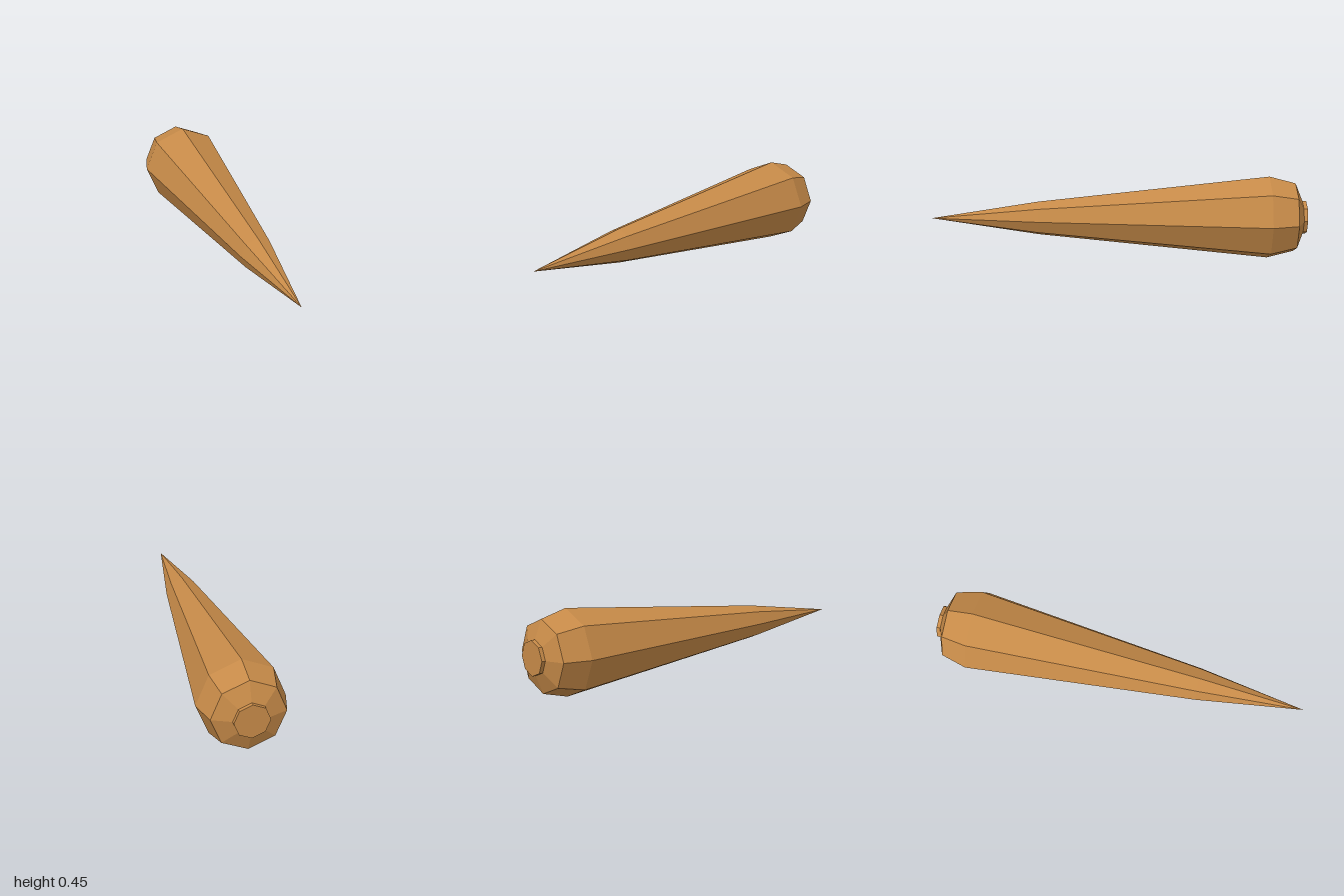
import * as THREE from 'three';

const SIDES = 8;
const RADIUS = 0.224;

// Faceted solid of revolution along z, from [z, radius] pairs listed back to front
function facetedLathe(name, profile, material) {
  const points = profile.map(([z, r]) => new THREE.Vector2(r, z));
  const lathe = new THREE.LatheGeometry(points, SIDES);
  lathe.rotateX(Math.PI / 2);
  const geometry = lathe.toNonIndexed();
  geometry.computeVertexNormals();
  const mesh = new THREE.Mesh(geometry, material);
  mesh.name = name;
  mesh.position.y = RADIUS;
  return mesh;
}

export function createModel() {
  const group = new THREE.Group();
  group.name = 'taperedSpike';
  const brown = new THREE.MeshStandardMaterial({ color: 0xc68a48 });
  brown.name = 'warm brown';

  // Long tapered body with a rounded shoulder at the back
  group.add(facetedLathe('body', [
    [-0.98, 0], [-0.98, 0.09], [-0.94, 0.187], [-0.8, RADIUS], [0.43, 0.09], [1, 0],
  ], brown));

  // Short stub on the back end
  group.add(facetedLathe('stub', [
    [-1, 0], [-1, 0.09], [-0.975, 0.09],
  ], brown));

  return group;
}
